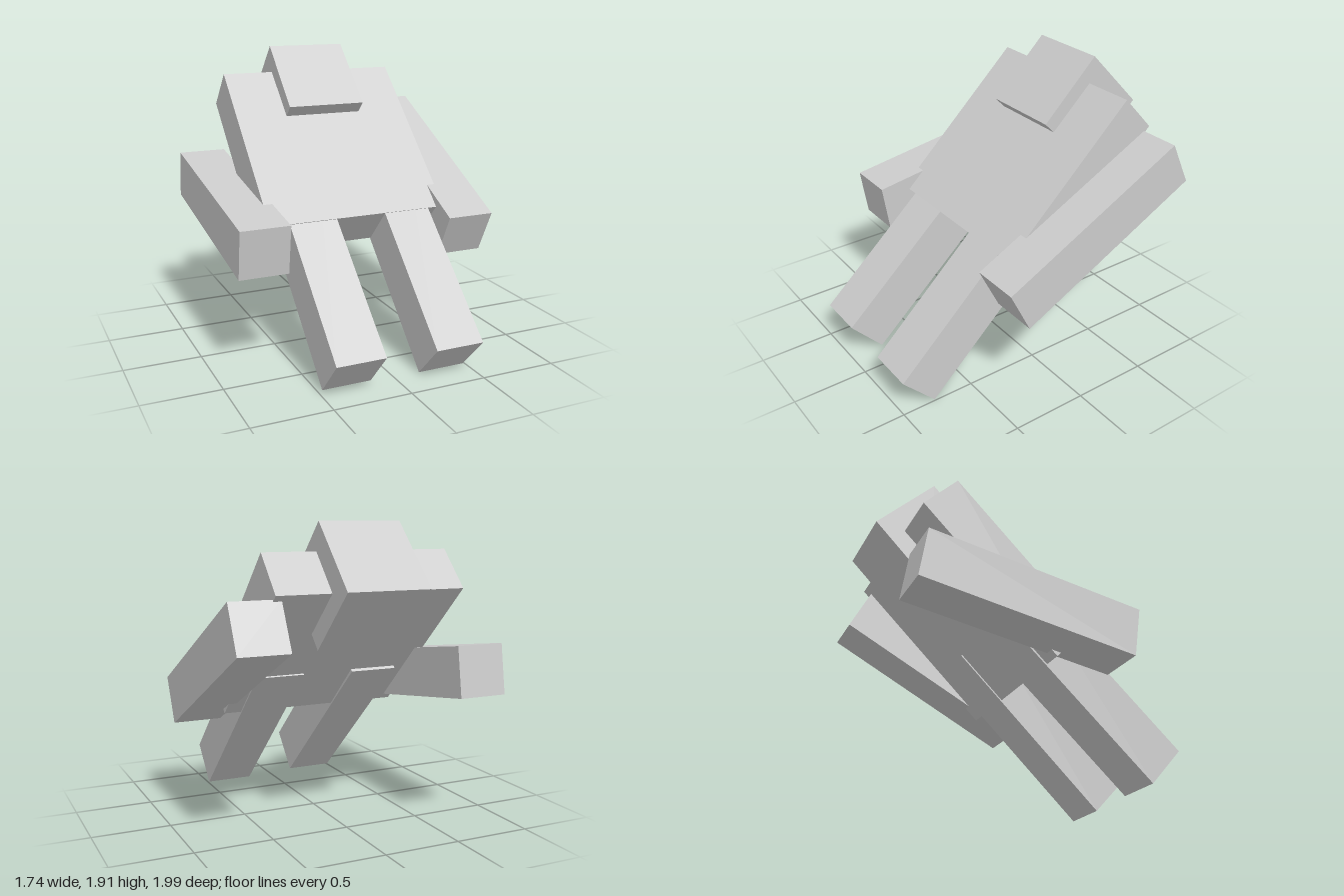
import * as THREE from 'three';

const LIMB = [0.317, 1.38, 0.317];

// name, size [w, h, d], centre [x, y, z], backward lean in degrees
const PARTS = [
  ['torso', [1.215, 1.215, 0.312], [-0.005, 1.21, -0.265], 46.5],
  ['head', [0.53, 0.53, 0.53], [-0.005, 1.54, -0.625], 45.7],
  ['leftArm', LIMB, [0.708, 1.04, -0.225], 63.3],
  ['rightArm', LIMB, [-0.712, 0.912, -0.207], 81.2],
  ['leftLeg', LIMB, [0.332, 0.592, 0.378], 46.6],
  ['rightLeg', LIMB, [-0.322, 0.601, 0.375], 47.8],
];

export function createModel() {
  const model = new THREE.Group();
  model.name = 'blockFigure';
  const material = new THREE.MeshStandardMaterial({ color: 0xcccccc, flatShading: true });

  // Each body part is a box leaning back about the x axis
  for (const [name, size, centre, lean] of PARTS) {
    const part = new THREE.Mesh(new THREE.BoxGeometry(...size), material);
    part.name = name;
    part.position.set(...centre);
    part.rotation.x = -THREE.MathUtils.degToRad(lean);
    model.add(part);
  }
  return model;
}
